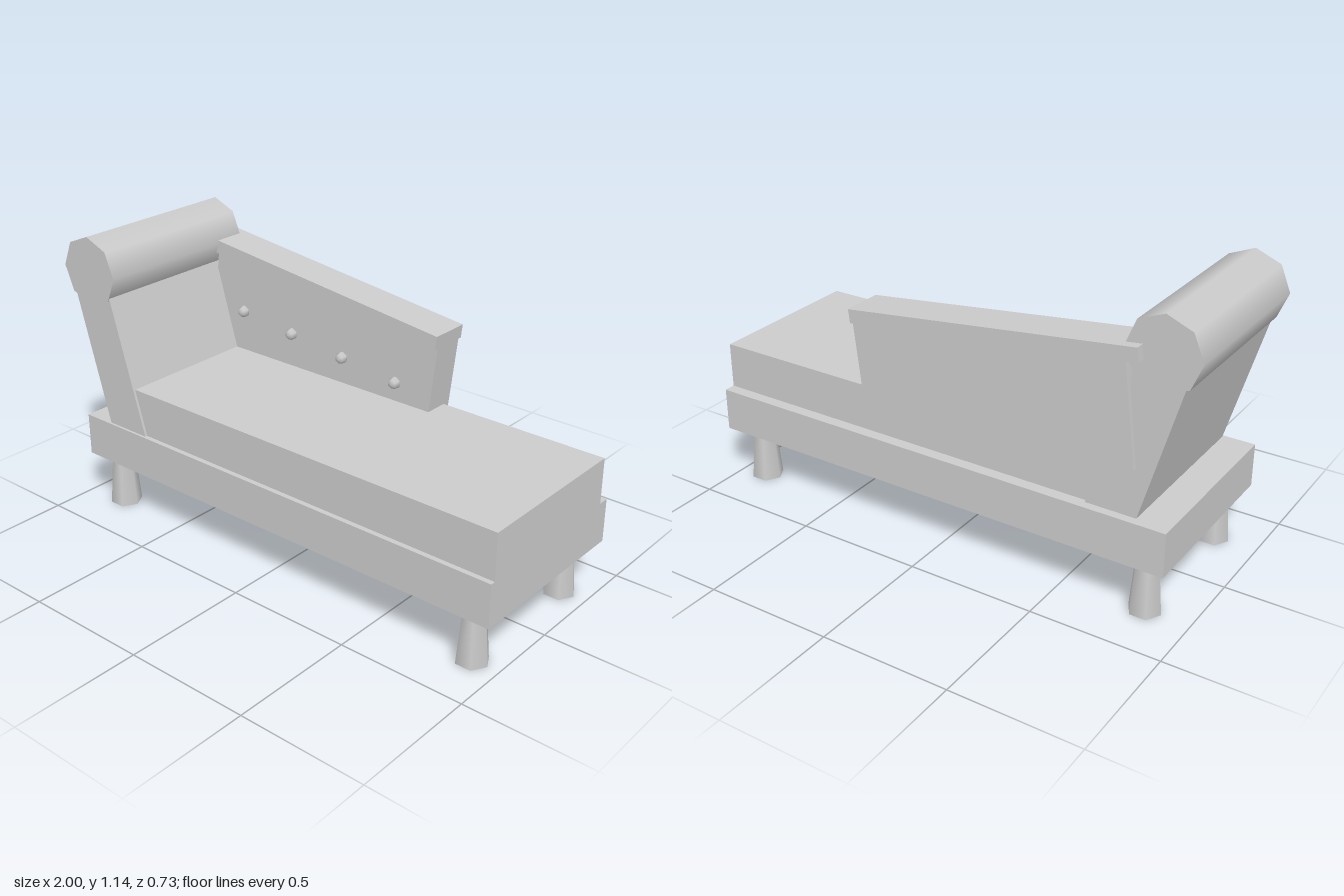
import * as THREE from 'three';

const material = new THREE.MeshStandardMaterial({ color: 0xcccccc });

function addMesh(parent, name, geometry, x = 0, y = 0, z = 0) {
  const mesh = new THREE.Mesh(geometry, material);
  mesh.name = name;
  mesh.position.set(x, y, z);
  parent.add(mesh);
  return mesh;
}

// Box given by its minimum and maximum corners
function addBox(parent, name, [x0, y0, z0], [x1, y1, z1]) {
  const geometry = new THREE.BoxGeometry(x1 - x0, y1 - y0, z1 - z0);
  return addMesh(parent, name, geometry, (x0 + x1) / 2, (y0 + y1) / 2, (z0 + z1) / 2);
}

export function createModel() {
  const chaise = new THREE.Group();
  chaise.name = 'chaiseLongue';

  // Base and seat
  addBox(chaise, 'base', [-0.925, 0.215, -0.36], [1, 0.385, 0.365]);
  addBox(chaise, 'seatCushion', [-0.7, 0.385, -0.315], [1, 0.565, 0.345]);

  // Six-sided legs, wider at the foot
  const legGeometry = new THREE.CylinderGeometry(0.044, 0.063, 0.217, 6).rotateY(Math.PI / 2);
  for (const x of [-0.825, 0.89]) {
    for (const z of [-0.273, 0.282]) addMesh(chaise, 'leg', legGeometry, x, 0.1085, z);
  }

  // Leaning headrest, its top buried in the roll
  const profile = new THREE.Shape([
    [-0.8, 0.385], [-0.605, 0.385], [-0.76, 0.914], [-0.785, 1], [-0.93, 1], [-0.947, 0.9],
  ].map(([x, y]) => new THREE.Vector2(x, y)));
  const slab = new THREE.ExtrudeGeometry(profile, { depth: 0.682, bevelEnabled: false });
  addMesh(chaise, 'headrest', slab, 0, 0, -0.327);

  // Eight-sided smooth roll along z
  const roll = new THREE.CylinderGeometry(0.1375, 0.1375, 0.685, 8).rotateX(Math.PI / 2);
  addMesh(chaise, 'headrestRoll', roll, -0.8625, 0.998, 0.0145);

  // Sloping backrest, hung from the top corner of its free end
  const backrest = new THREE.Group();
  backrest.name = 'backrest';
  backrest.position.set(0.355, 0.88, 0);
  backrest.rotation.z = -0.119;
  chaise.add(backrest);
  addBox(backrest, 'topRail', [-1.153, -0.053, -0.363], [0, 0, -0.203]);
  addBox(backrest, 'backPanel', [-1.1, -0.443, -0.348], [0, -0.05, -0.22]);

  // Row of tufting buttons following the slope
  const buttonGeometry = new THREE.SphereGeometry(0.025, 6, 4)
    .rotateX(Math.PI / 2).rotateZ(Math.PI / 2);
  for (let i = 0; i < 4; i++) {
    addMesh(chaise, 'button', buttonGeometry, -0.605 + 0.256 * i, 0.735 - 0.031 * i, -0.212);
  }

  return chaise;
}
